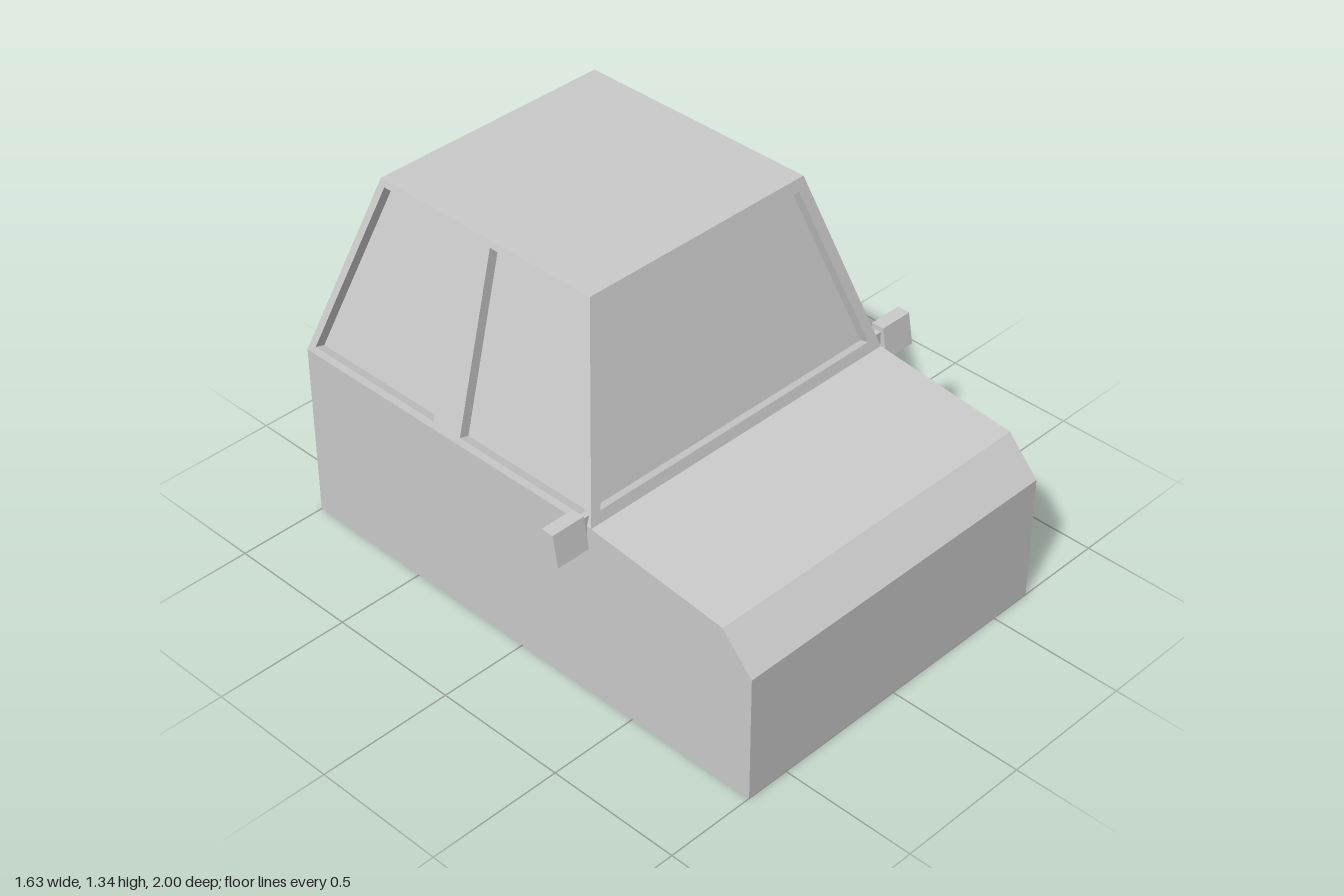
import * as THREE from 'three';
import { mergeGeometries } from 'three/addons/utils/BufferGeometryUtils.js';

const V = (x, y, z) => new THREE.Vector3(x, y, z);
const paint = new THREE.MeshStandardMaterial({ color: 0xcccccc });
paint.name = 'greyPaint';

// flat-shaded quads, corners anticlockwise seen from outside
function quads(list) {
  const pts = list.flatMap(([a, b, c, d]) => [a, b, c, a, c, d]);
  const g = new THREE.BufferGeometry().setFromPoints(pts);
  g.computeVertexNormals();
  return g;
}

// flat panel with sunken panes: every hole gets side walls and a pane at the given depth
function panel(outline, holes, depth) {
  const [o, p1, p2] = outline;
  const u = p1.clone().sub(o).normalize();
  const n = u.clone().cross(p2.clone().sub(o)).normalize();
  const v = n.clone().cross(u);
  const flat = (p) => {
    const d = p.clone().sub(o);
    return new THREE.Vector2(d.dot(u), d.dot(v));
  };
  const shape = new THREE.Shape(outline.map(flat));
  const sunken = [];
  for (const h of holes) {
    shape.holes.push(new THREE.Path(h.map(flat)));
    const inner = h.map((p) => p.clone().addScaledVector(n, -depth));
    h.forEach((a, i) => {
      const j = (i + 1) % 4;
      sunken.push([a, h[j], inner[j], inner[i]]);
    });
    sunken.push(inner);
  }
  const face = new THREE.ShapeGeometry(shape).toNonIndexed();
  face.applyMatrix4(new THREE.Matrix4().makeBasis(u, v, n).setPosition(o));
  face.deleteAttribute('uv');
  return sunken.length ? mergeGeometries([face, quads(sunken)]) : face;
}

// mirror a quad to the other side and keep its facing
const flip = (q, s) => (s > 0 ? q : q.map((p) => V(-p.x, p.y, p.z)).reverse());

export function createModel() {
  const car = new THREE.Group();
  car.name = 'car';
  const add = (name, geometry) => {
    const m = new THREE.Mesh(geometry, paint);
    m.name = name;
    car.add(m);
    return m;
  };

  // lower body: side profile (z, y) extruded across the width
  const W = 0.665, Y0 = 0.67, Y1 = 1.335;
  const profile = [[-1, 0], [1, 0], [1, 0.48], [0.88, 0.61], [0.33, Y0], [-1, Y0]];
  const body = new THREE.ExtrudeGeometry(
    new THREE.Shape(profile.map(([z, y]) => new THREE.Vector2(z, y))),
    { depth: 2 * W, bevelEnabled: false });
  body.translate(0, 0, -W).rotateY(-Math.PI / 2);
  add('lowerBody', body);

  // cabin: tapered box
  const R = 0.47, F0 = 0.33, F1 = 0.14, B0 = -1, B1 = -0.8;
  const rise = (y) => (y - Y0) / (Y1 - Y0);
  const onFront = (x, y) => V(x, y, F0 + (F1 - F0) * rise(y));
  const onSide = (z, y) => V(W + (R - W) * rise(y), y, z);

  add('roof', quads([[V(-R, Y1, F1), V(R, Y1, F1), V(R, Y1, B1), V(-R, Y1, B1)]]));
  add('cabinBack', quads([[V(W, Y0, B0), V(-W, Y0, B0), V(-R, Y1, B1), V(R, Y1, B1)]]));
  add('windscreen', panel(
    [onFront(-W, Y0), onFront(W, Y0), onFront(R, Y1), onFront(-R, Y1)],
    [[onFront(-0.613, 0.708), onFront(0.613, 0.708), onFront(0.438, 1.295), onFront(-0.438, 1.295)]],
    0.035));

  // side walls with front and rear windows, and door mirrors
  const lo = 0.694, hi = 1.312;
  const side = [onSide(F0, Y0), onSide(B0, Y0), onSide(B1, Y1), onSide(F1, Y1)];
  const windows = [
    [onSide(0.295, lo), onSide(-0.265, lo), onSide(-0.29, hi), onSide(0.118, hi)],
    [onSide(-0.388, lo), onSide(-0.964, lo), onSide(-0.778, hi), onSide(-0.396, hi)],
  ];

  // mirror housing: sloped front, sunken glass on the back
  const x0 = 0.685, x1 = 0.815, yb = 0.61, yt = 0.725;
  const corner = (x, top, front) =>
    V(x, top ? yt : yb, front ? (top ? 0.32 : 0.34) : (top ? 0.272 : 0.28));
  const c = (i, t, f) => corner(i ? x1 : x0, t, f);
  const housing = [
    [c(0, 0, 1), c(1, 0, 1), c(1, 1, 1), c(0, 1, 1)],
    [c(0, 1, 1), c(1, 1, 1), c(1, 1, 0), c(0, 1, 0)],
    [c(0, 0, 0), c(1, 0, 0), c(1, 0, 1), c(0, 0, 1)],
    [c(1, 0, 1), c(1, 0, 0), c(1, 1, 0), c(1, 1, 1)],
    [c(0, 0, 0), c(0, 0, 1), c(0, 1, 1), c(0, 1, 0)],
  ];
  const back = [c(1, 0, 0), c(0, 0, 0), c(0, 1, 0), c(1, 1, 0)];
  const mid = back.reduce((a, p) => a.addScaledVector(p, 0.25), V(0, 0, 0));
  const glass = back.map((p) => p.clone().lerp(mid, 0.25));

  for (const s of [1, -1]) {
    const tag = s > 0 ? 'left' : 'right';
    add(tag + 'CabinSide', panel(flip(side, s), windows.map((w) => flip(w, s)), 0.037));
    add(tag + 'MirrorHousing', quads(housing.map((q) => flip(q, s))));
    add(tag + 'MirrorGlass', panel(flip(back, s), [flip(glass, s)], 0.015));
    add(tag + 'MirrorArm', new THREE.BoxGeometry(0.05, 0.08, 0.022))
      .position.set(s * 0.667, 0.667, 0.3);
  }
  return car;
}
